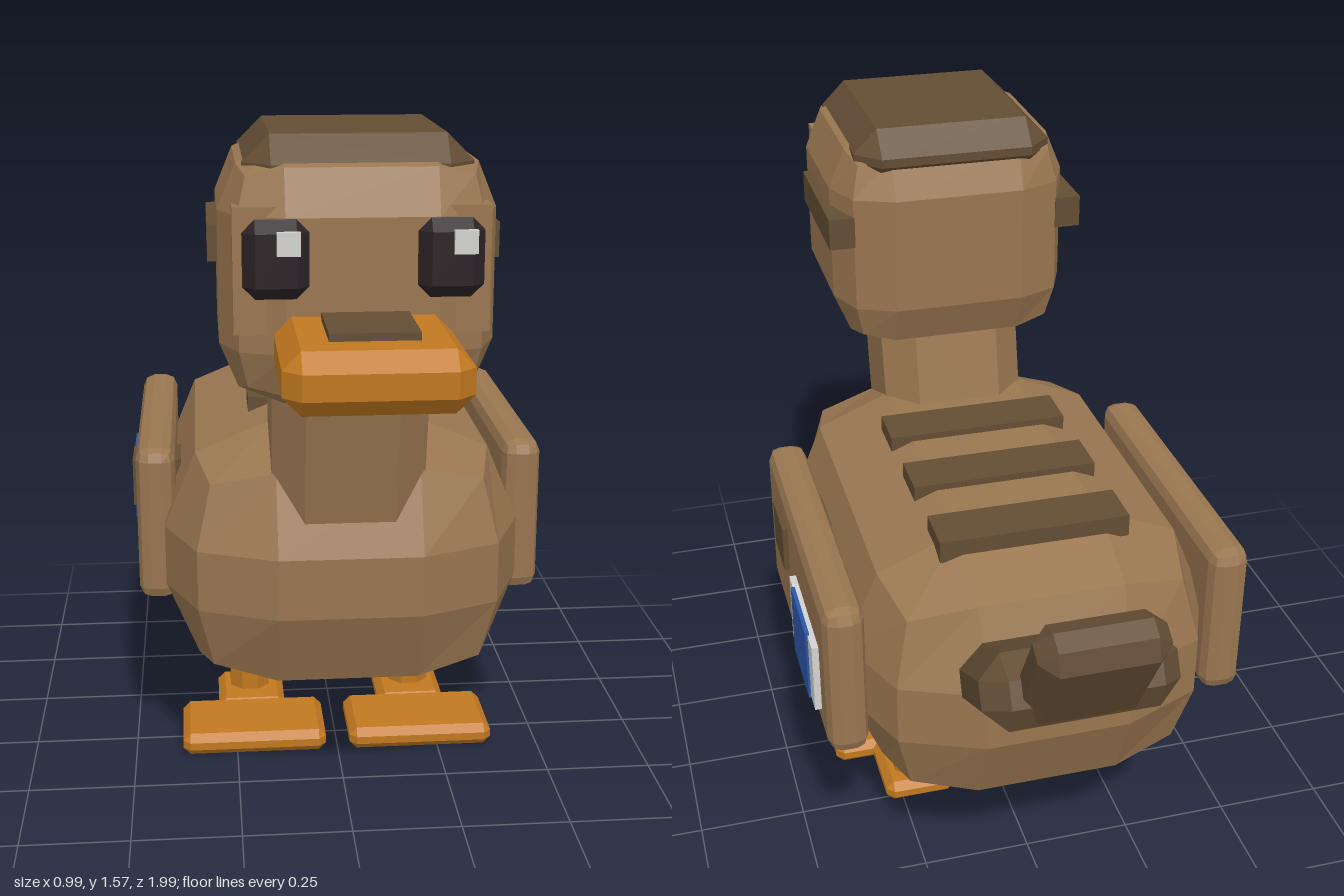
import * as THREE from 'three';
import { RoundedBoxGeometry } from 'three/addons/geometries/RoundedBoxGeometry.js';
import { ConvexGeometry } from 'three/addons/geometries/ConvexGeometry.js';

function mat(name, color) {
  const m = new THREE.MeshStandardMaterial({ color, flatShading: true });
  m.name = name;
  return m;
}

// Box with a single flat bevel of size c on every edge
function chamferBox(w, h, d, c) {
  const pts = [];
  const half = [w / 2, h / 2, d / 2];
  for (const sx of [-1, 1]) for (const sy of [-1, 1]) for (const sz of [-1, 1]) {
    for (let full = 0; full < 3; full++) {
      const p = half.map((v, i) => (i === full ? v : v - c));
      pts.push(new THREE.Vector3(p[0] * sx, p[1] * sy, p[2] * sz));
    }
  }
  return new ConvexGeometry(pts);
}

export function createModel() {
  const model = new THREE.Group();
  model.name = 'duck';

  const brown = mat('featherBrown', 0x997650);
  const dark = mat('darkBrown', 0x634d34);
  const orange = mat('orange', 0xc17820);
  const black = mat('eyeBlack', 0x2b2226);
  const white = mat('white', 0xd2d2d0);
  const blue = mat('blue', 0x2c56a8);

  function add(name, geometry, material, x, y, z, tilt = 0) {
    const mesh = new THREE.Mesh(geometry, material);
    mesh.name = name;
    mesh.position.set(x, y, z);
    mesh.rotation.x = tilt;
    model.add(mesh);
    return mesh;
  }
  const box = (w, h, d) => new THREE.BoxGeometry(w, h, d);
  const rad = THREE.MathUtils.degToRad;

  // Body, neck and head
  add('body', new RoundedBoxGeometry(0.82, 0.64, 1.165, 1, 0.25), brown, 0, 0.57, -0.128);
  add('neck', chamferBox(0.34, 0.52, 0.335, 0.07), brown, 0, 0.92, 0.3, rad(13));
  add('head', new RoundedBoxGeometry(0.56, 0.53, 0.56, 1, 0.13), brown, 0, 1.285, 0.39);
  add('crown', chamferBox(0.46, 0.13, 0.49, 0.055), dark, 0, 1.505, 0.375);

  // Bill
  add('bill', chamferBox(0.35, 0.12, 0.36, 0.035), orange, 0, 1.17, 0.82);
  add('billPatch', box(0.17, 0.02, 0.185), dark, 0, 1.235, 0.803);

  // Back stripes
  for (const z of [-0.458, -0.225, 0.005]) {
    add('backStripe', box(0.42, 0.05, 0.112), dark, 0, 0.88, z);
  }

  // Tail in two bent sections
  add('tailBase', chamferBox(0.42, 0.16, 0.3, 0.05), dark, 0, 0.696, -0.742, rad(28));
  add('tailTip', chamferBox(0.27, 0.113, 0.3, 0.035), dark, 0, 0.815, -0.888, rad(60));

  for (const s of [-1, 1]) {
    const side = s > 0 ? 'left' : 'right';

    // Face
    add(side + 'Cheek', box(0.165, 0.25, 0.06), brown, s * 0.17, 1.315, 0.625);
    add(side + 'Eye', chamferBox(0.13, 0.155, 0.05, 0.025), black, s * 0.17, 1.343, 0.68);
    add(side + 'EyeGlint', box(0.046, 0.046, 0.016), white, s * 0.17 + 0.024, 1.377, 0.706);
    add(side + 'HeadStripe', box(0.06, 0.073, 0.335), dark, s * 0.27, 1.342, 0.313);

    // Wing with its patch and striped badge
    add(side + 'Wing', new RoundedBoxGeometry(0.09, 0.37, 0.75, 1, 0.03), brown, s * 0.43, 0.625, -0.208);
    add(side + 'WingPatch', box(0.115, 0.112, 0.13), dark, s * 0.43, 0.684, -0.052);
    add(side + 'BadgeBase', box(0.02, 0.165, 0.285), white, s * 0.48, 0.59, -0.353);
    add(side + 'BadgeBand', box(0.009, 0.172, 0.185), blue, s * 0.4905, 0.59, -0.353);

    // Leg and foot
    const leg = new THREE.CylinderGeometry(0.054, 0.054, 0.25, 8);
    leg.rotateY(Math.PI / 8);
    add(side + 'Leg', leg, orange, s * 0.21, 0.165, -0.2);
    add(side + 'FootFront', chamferBox(0.355, 0.055, 0.22, 0.018), orange, s * 0.207, 0.0275, 0.005);
    add(side + 'FootHeel', chamferBox(0.17, 0.054, 0.2, 0.018), orange, s * 0.207, 0.0275, -0.18);
  }

  return model;
}
